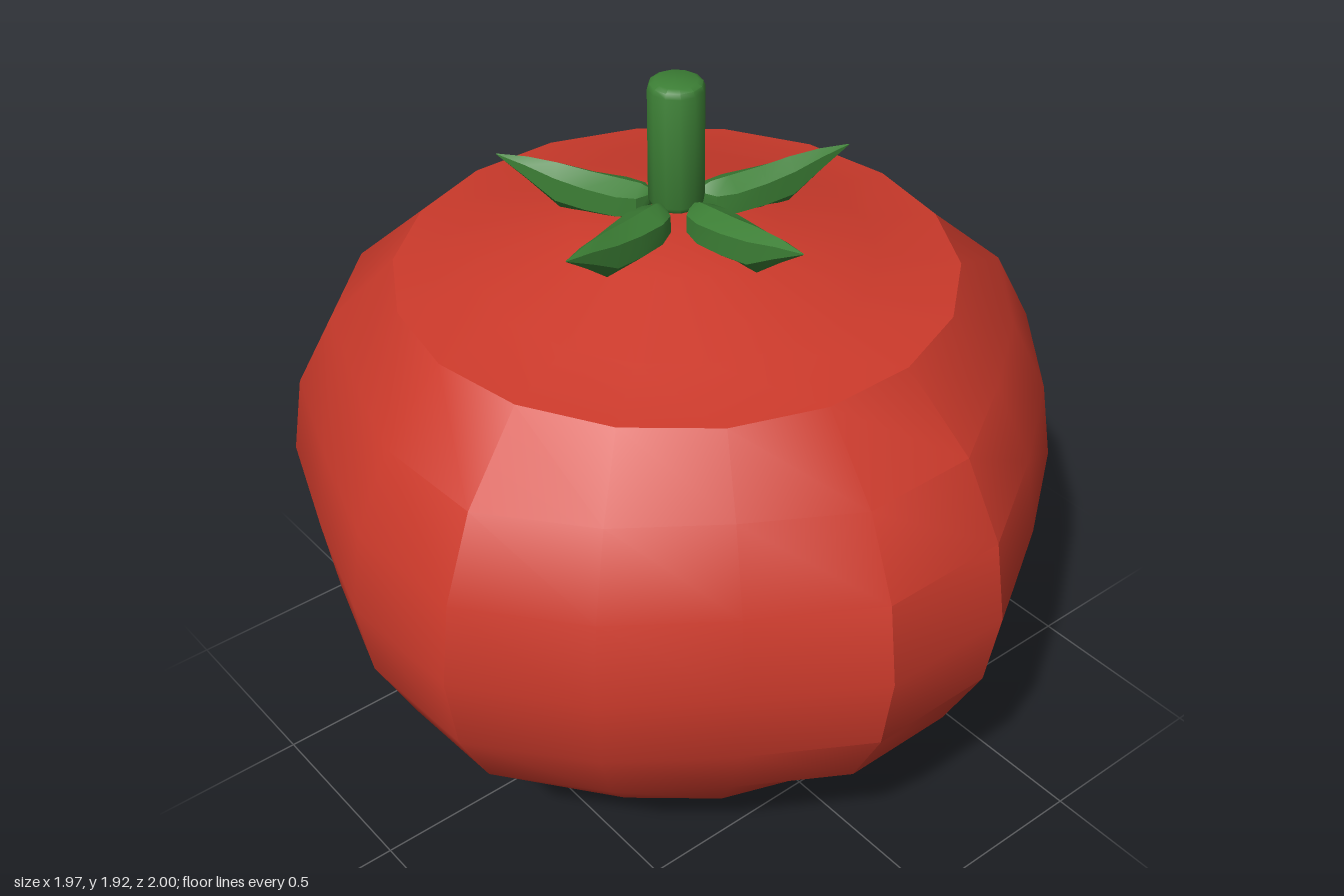
import * as THREE from 'three';
import { toCreasedNormals } from 'three/addons/utils/BufferGeometryUtils.js';

const red = new THREE.MeshStandardMaterial({ color: 0xcc3a2b });
red.name = 'tomatoRed';
const green = new THREE.MeshStandardMaterial({ color: 0x3c7f35 });
green.name = 'stemGreen';

const CENTRE_X = -0.028;

// Squashed sphere with five soft lobes round the waist and a sunken crown
function fruitGeometry() {
  const g = new THREE.SphereGeometry(1, 18, 12, Math.PI / 18);
  const p = g.attributes.position;
  for (let i = 0; i < p.count; i++) {
    const x = p.getX(i), y = p.getY(i), z = p.getZ(i);
    const lobe = Math.abs(y) < 0.6 ? 1 + 0.045 * Math.cos(5 * Math.atan2(z, x)) : 1;
    const drop = y > 0.8 ? 0.1 : 0;
    p.setXYZ(i, x * lobe, 0.83 + y * 0.83 - drop, z * lobe);
  }
  return toCreasedNormals(g, Math.PI / 6);
}

// Pointed, keeled sepal running outward along +x
function sepalGeometry() {
  // distance out, middle height, half width, rise above, depth below
  const sections = [
    [0.065, 1.595, 0.012, 0.02, 0.03],
    [0.09, 1.585, 0.042, 0.042, 0.05],
    [0.14, 1.585, 0.052, 0.048, 0.06],
    [0.22, 1.59, 0.045, 0.052, 0.065],
    [0.3, 1.6, 0.033, 0.054, 0.07],
    [0.38, 1.63, 0.018, 0.03, 0.035],
    [0.46, 1.656, 0.001, 0.001, 0.001],
  ];
  const SIDES = 6, pos = [], index = [];
  for (const [x, y, w, up, down] of sections) {
    for (let k = 0; k < SIDES; k++) {
      const a = (k / SIDES) * Math.PI * 2, c = Math.cos(a);
      pos.push(x, y + c * (c > 0 ? up : down), (Math.sin(a) * w) / Math.sin(Math.PI / 3));
    }
  }
  for (let i = 0; i < sections.length - 1; i++) {
    for (let k = 0; k < SIDES; k++) {
      const a = i * SIDES + k, b = i * SIDES + ((k + 1) % SIDES);
      index.push(a, b, a + SIDES, b, b + SIDES, a + SIDES);
    }
  }
  // Inner end cap
  for (let k = 1; k < SIDES - 1; k++) index.push(0, k + 1, k);
  const g = new THREE.BufferGeometry();
  g.setAttribute('position', new THREE.Float32BufferAttribute(pos, 3));
  g.setIndex(index);
  g.computeVertexNormals();
  return toCreasedNormals(g, Math.PI / 5);
}

// Short peg with softened ends
function stemGeometry() {
  const profile = [
    [0, 1.585], [0.052, 1.585], [0.065, 1.592], [0.07, 1.605],
    [0.07, 1.897], [0.065, 1.91], [0.052, 1.917], [0, 1.917],
  ].map(([x, y]) => new THREE.Vector2(x, y));
  return toCreasedNormals(new THREE.LatheGeometry(profile, 12), Math.PI / 4);
}

export function createModel() {
  const model = new THREE.Group();
  model.name = 'tomato';
  const add = (name, geometry, material) => {
    const mesh = new THREE.Mesh(geometry, material);
    mesh.name = name;
    mesh.position.x = CENTRE_X;
    model.add(mesh);
    return mesh;
  };

  add('fruit', fruitGeometry(), red);
  add('stem', stemGeometry(), green);

  // Star of five sepals
  const sepal = sepalGeometry();
  for (let i = 0; i < 5; i++) {
    add('sepal' + (i + 1), sepal, green).rotation.y = (i / 5) * Math.PI * 2;
  }
  return model;
}
